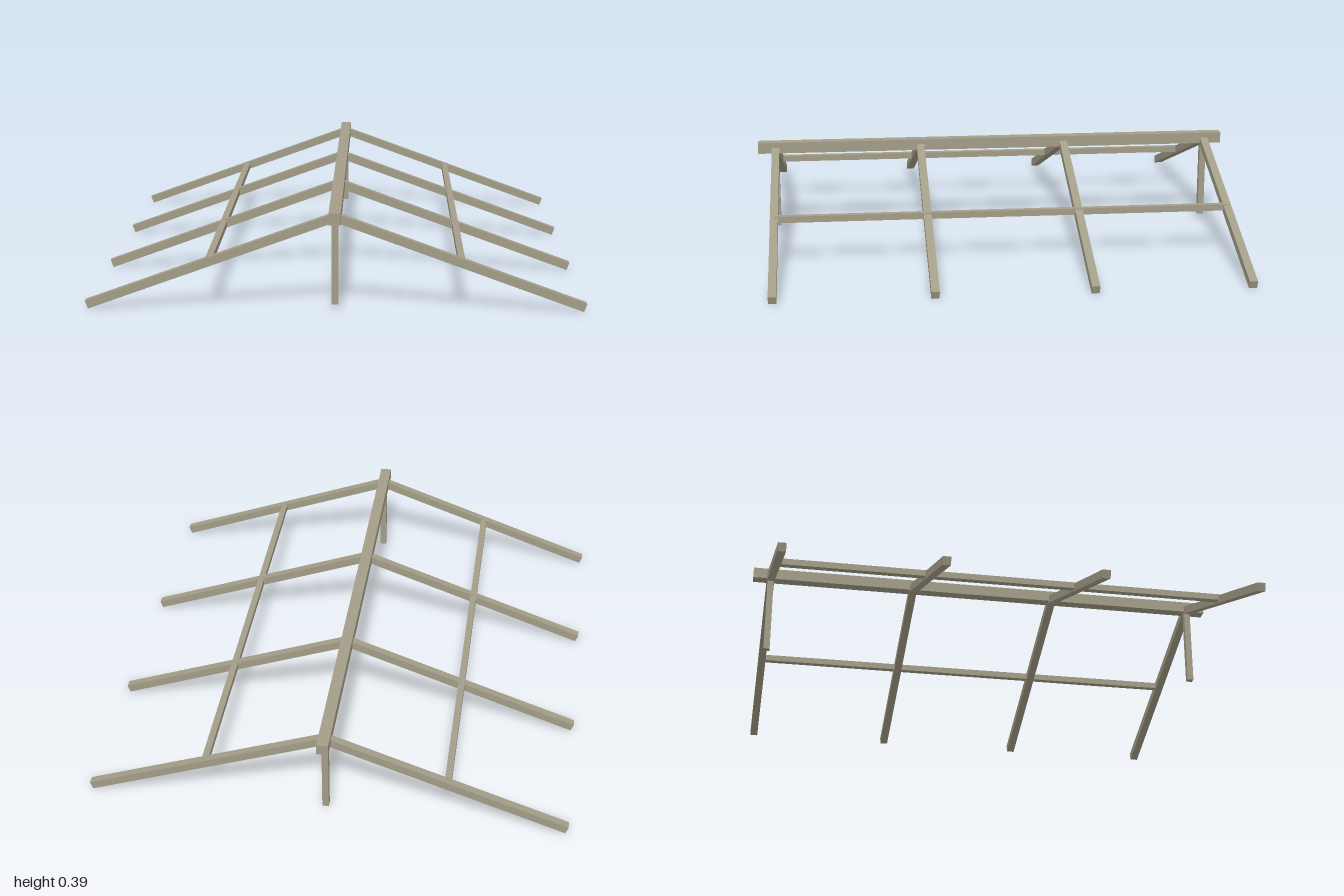
import * as THREE from 'three';

export function createModel() {
  const model = new THREE.Group();
  model.name = 'roofFrame';

  const timber = new THREE.MeshStandardMaterial({ color: 0xa39d87 });
  timber.name = 'weathered timber';

  const beam = (name, w, h, d, x, y, z, tilt = 0) => {
    const mesh = new THREE.Mesh(new THREE.BoxGeometry(w, h, d), timber);
    mesh.name = name;
    mesh.position.set(x, y, z);
    mesh.rotation.z = tilt;
    model.add(mesh);
  };

  const pitch = THREE.MathUtils.degToRad(20);
  const rafterLength = 1.014;
  const apex = 0.363;
  const endZ = 0.926;

  // Ridge beam along the top
  beam('ridgeBeam', 0.046, 0.046, 2, 0, 0.37, 0);

  for (const side of [-1, 1]) {
    const label = side > 0 ? 'left' : 'right';

    // Four sloping rafters on each side, meeting inside the ridge
    for (let i = 0; i < 4; i++) {
      const z = -endZ + (i * 2 * endZ) / 3;
      beam(`${label}Rafter${i + 1}`, rafterLength, 0.033, 0.032,
        side * rafterLength / 2 * Math.cos(pitch),
        apex - rafterLength / 2 * Math.sin(pitch), z, -side * pitch);
    }

    // Purlin tying the rafters together at mid slope
    beam(`${label}Purlin`, 0.026, 0.026, 2 * endZ, side * 0.48, 0.193, 0);
  }

  // Post hanging below each end of the ridge
  for (const side of [-1, 1]) {
    beam(side > 0 ? 'frontPost' : 'backPost', 0.026, 0.337, 0.026, 0, 0.1915, side * endZ);
  }

  return model;
}
